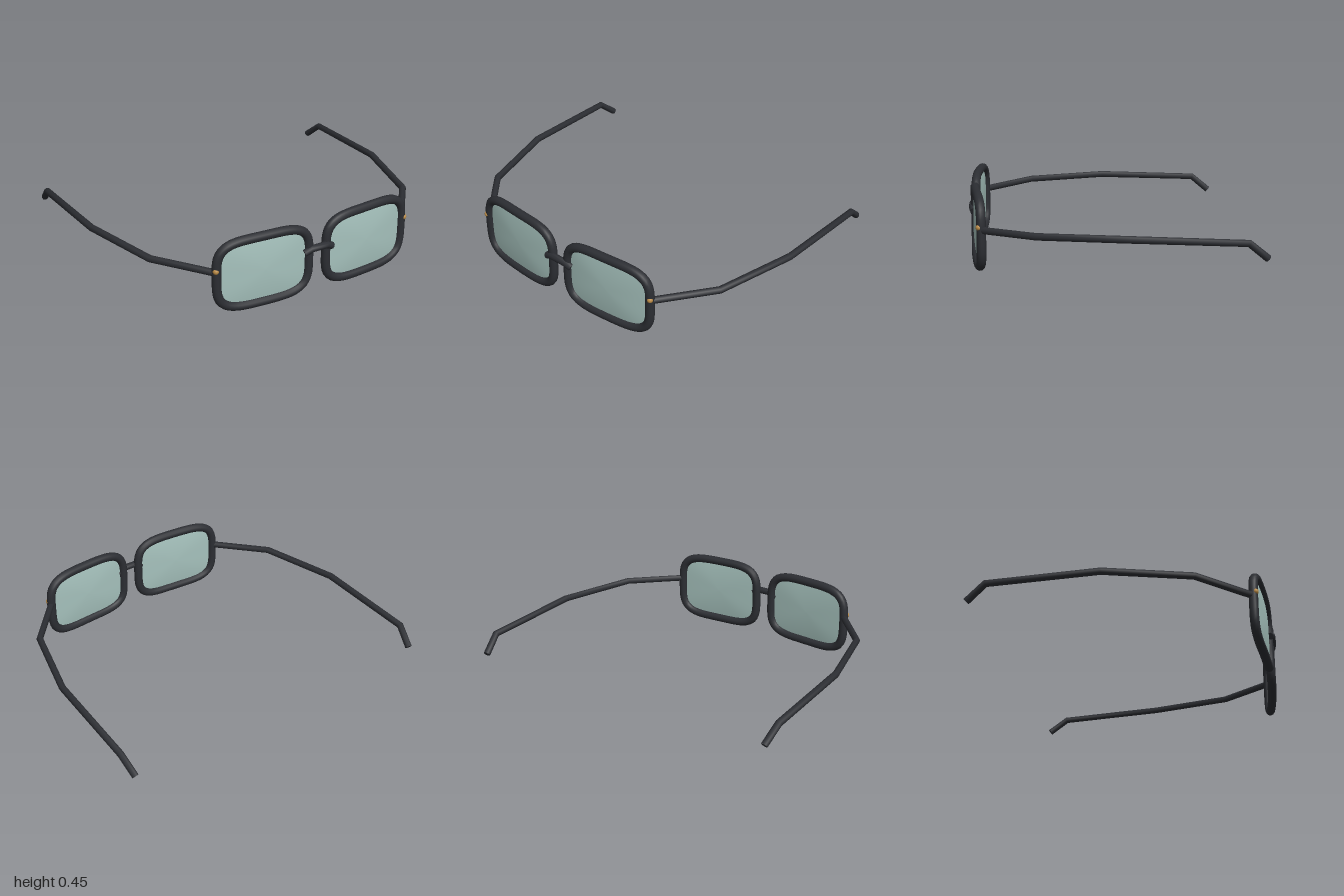
import * as THREE from 'three';

const frameMat = new THREE.MeshStandardMaterial({ color: 0x2c2e33 });
const lensMat = new THREE.MeshStandardMaterial({ color: 0xa6c2bd });
const hingeMat = new THREE.MeshStandardMaterial({ color: 0xb98a45 });

const HALF_W = 0.272, HALF_H = 0.197, CENTER_X = 0.328, CENTER_Y = 0.223;
const V = (x, y, z) => new THREE.Vector3(x, y, z);

// The whole front bows back gently away from the nose
const bow = x => 0.752 - 0.13 * x * x;

// Rounded-rectangle outline: distance from the lens centre at an angle
const outline = a =>
  (Math.abs(Math.cos(a) / HALF_W) ** 4 + Math.abs(Math.sin(a) / HALF_H) ** 4) ** -0.25;

// Straight segments with one ring at each corner
class Polyline extends THREE.Curve {
  constructor(points) {
    super();
    this.points = points;
  }
  getPoint(t, target = new THREE.Vector3()) {
    const f = t * (this.points.length - 1);
    const i = Math.min(Math.floor(f + 1e-6), this.points.length - 2);
    return target.lerpVectors(this.points[i], this.points[i + 1], f - i);
  }
  getPointAt(u, target) {
    return this.getPoint(u, target);
  }
  getTangentAt(u, target = new THREE.Vector3()) {
    const n = this.points.length - 1, i = Math.round(u * n), p = this.points;
    target.set(0, 0, 0);
    if (i > 0) target.add(p[i].clone().sub(p[i - 1]).normalize());
    if (i < n) target.add(p[i + 1].clone().sub(p[i]).normalize());
    return target.normalize();
  }
}

function addMesh(parent, name, geometry, material) {
  const mesh = new THREE.Mesh(geometry, material);
  mesh.name = name;
  parent.add(mesh);
  return mesh;
}

// Tube along a polyline with flat caps on both ends
function addRod(parent, name, points, radius, sides) {
  const rod = new THREE.Group();
  rod.name = name;
  parent.add(rod);
  const path = new Polyline(points);
  addMesh(rod, name + 'Bar', new THREE.TubeGeometry(path, points.length - 1, radius, sides), frameMat);
  for (const end of [0, 1]) {
    const cap = addMesh(rod, name + 'Cap', new THREE.CircleGeometry(radius, sides), frameMat);
    cap.position.copy(path.getPointAt(end));
    const dir = path.getTangentAt(end).multiplyScalar(end ? 1 : -1);
    cap.quaternion.setFromUnitVectors(V(0, 0, 1), dir);
  }
}

function rimGeometry(side) {
  const points = [];
  for (let i = 0; i < 48; i++) {
    const a = (i / 48) * Math.PI * 2, r = outline(a);
    const x = side * CENTER_X + r * Math.cos(a);
    points.push(V(x, CENTER_Y + r * Math.sin(a), bow(x)));
  }
  return new THREE.TubeGeometry(new THREE.CatmullRomCurve3(points, true), 72, 0.026, 12, true);
}

// A sphere flattened into a shallow dome on both faces, fitted to the rim
function lensGeometry(side) {
  const g = new THREE.SphereGeometry(1, 48, 20).rotateX(Math.PI / 2);
  const p = g.attributes.position;
  for (let i = 0; i < p.count; i++) {
    const a = Math.atan2(p.getY(i), p.getX(i));
    const rho = Math.min(1, Math.hypot(p.getX(i), p.getY(i)));
    const r = rho * outline(a);
    const x = side * CENTER_X + r * Math.cos(a);
    const dome = Math.sign(p.getZ(i)) * 0.016 * (1 - rho * rho);
    p.setXYZ(i, x, CENTER_Y + r * Math.sin(a), bow(x) + dome);
  }
  g.computeVertexNormals();
  return g;
}

export function createModel() {
  const model = new THREE.Group();
  model.name = 'eyeglasses';

  for (const s of [1, -1]) {
    const label = s > 0 ? 'left' : 'right';
    addMesh(model, label + 'Rim', rimGeometry(s), frameMat);
    addMesh(model, label + 'Lens', lensGeometry(s), lensMat);

    // Small metal hinge stud at the outer edge
    const stud = addMesh(model, label + 'HingeStud', new THREE.SphereGeometry(0.017, 16, 12), hingeMat);
    stud.position.set(s * 0.61, 0.275, 0.718);

    // Temple arm sweeping back to the ear hook
    addRod(model, label + 'Temple', [
      V(s * 0.605, 0.258, 0.7),
      V(s * 0.84, 0.273, 0.415),
      V(s * 0.963, 0.277, -0.06),
      V(s * 0.977, 0.25, -0.675),
      V(s * 0.957, 0.163, -0.78),
    ], 0.02, 8);
  }

  // Nose bridge lapped over the front of both rims
  addRod(model, 'bridge', [
    V(-0.088, 0.257, 0.762), V(-0.05, 0.276, 0.77),
    V(0.05, 0.276, 0.77), V(0.088, 0.257, 0.762),
  ], 0.021, 10);

  return model;
}
